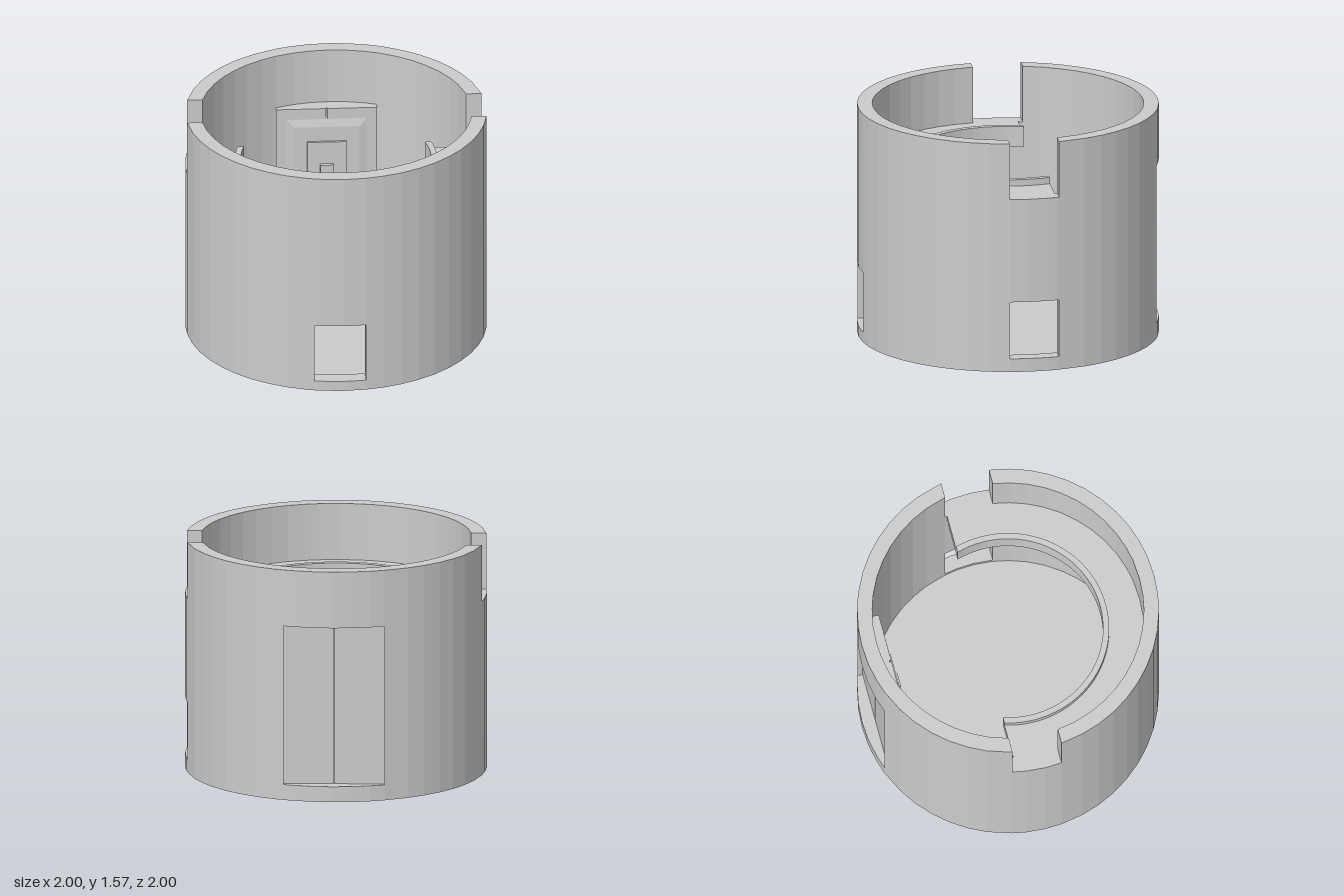
import * as THREE from 'three';

const R = 1, RI = 0.9, TOP = 1.57, DECK = 1.187, SIDES = 48;
const TAU = Math.PI * 2;
const mat = new THREE.MeshStandardMaterial({ color: 0xcccccc, flatShading: true });

function add(group, name, geometry, x = 0, y = 0, z = 0) {
  const mesh = new THREE.Mesh(geometry, mat);
  mesh.name = name;
  mesh.position.set(x, y, z);
  group.add(mesh);
  return mesh;
}

// Openings: which wall they cut, extent along that wall, and height range
const OPENINGS = [
  { side: 'front', lo: -0.2, hi: 0.14, y0: 0.07, y1: 0.48 },
  { side: 'left', lo: -0.205, hi: 0.125, y0: 0.09, y1: 0.48 },
  { side: 'left', lo: -0.205, hi: 0.125, y0: DECK, y1: TOP },
  { side: 'right', lo: -0.22, hi: 0.11, y0: DECK, y1: TOP },
  { side: 'back', lo: -0.35, hi: 0.32, y0: 0.105, y1: DECK },
];

// Angle from +z towards +x at which a straight jamb meets radius r
function jambAngle(side, v, r) {
  const a = { front: Math.asin(v / r), left: Math.acos(v / r),
    back: Math.PI - Math.asin(v / r), right: TAU - Math.acos(v / r) }[side];
  return (a + TAU) % TAU;
}

// Round wall made of cells; only faces that border open space are built
function wallGeometry() {
  const cuts = [];
  for (const o of OPENINGS) for (const v of [o.lo, o.hi]) {
    const outer = jambAngle(o.side, v, R);
    if (!cuts.some(c => Math.abs(c.outer - outer) < 1e-6)) {
      cuts.push({ outer, inner: jambAngle(o.side, v, RI) });
    }
  }
  const jambs = cuts.slice();
  for (let i = 0; i < SIDES; i++) {
    const a = (i / SIDES) * TAU;
    if (jambs.every(c => Math.abs(c.outer - a) > 0.06)) cuts.push({ outer: a, inner: a });
  }
  cuts.sort((p, q) => p.outer - q.outer);
  const levels = [...new Set([0, TOP, ...OPENINGS.flatMap(o => [o.y0, o.y1])])].sort((a, b) => a - b);
  const n = cuts.length, m = levels.length - 1;

  const solid = (i, j) => {
    if (j < 0 || j >= m) return false;
    i = (i + n) % n;
    const a0 = cuts[i].outer, a1 = i + 1 < n ? cuts[i + 1].outer : TAU;
    const a = (a0 + a1) / 2, x = Math.sin(a), z = Math.cos(a);
    const y = (levels[j] + levels[j + 1]) / 2;
    return !OPENINGS.some(o => {
      const v = o.side === 'front' || o.side === 'back' ? x : z;
      const facing = { front: z, back: -z, left: x, right: -x }[o.side];
      return facing > 0.5 && v > o.lo && v < o.hi && y > o.y0 && y < o.y1;
    });
  };

  const pos = [];
  const pt = (i, j, out) => {
    const c = cuts[i % n], a = out ? c.outer : c.inner, r = out ? R : RI;
    return [r * Math.sin(a), levels[j], r * Math.cos(a)];
  };
  const quad = (a, b, c, d) => pos.push(...a, ...b, ...c, ...a, ...c, ...d);
  for (let i = 0; i < n; i++) for (let j = 0; j < m; j++) {
    if (!solid(i, j)) continue;
    const k = i + 1, t = j + 1;
    quad(pt(i, j, 1), pt(k, j, 1), pt(k, t, 1), pt(i, t, 1));
    quad(pt(k, j, 0), pt(i, j, 0), pt(i, t, 0), pt(k, t, 0));
    if (!solid(i, j + 1)) quad(pt(i, t, 1), pt(k, t, 1), pt(k, t, 0), pt(i, t, 0));
    if (!solid(i, j - 1)) quad(pt(i, j, 0), pt(k, j, 0), pt(k, j, 1), pt(i, j, 1));
    if (!solid(i + 1, j)) quad(pt(k, j, 1), pt(k, j, 0), pt(k, t, 0), pt(k, t, 1));
    if (!solid(i - 1, j)) quad(pt(i, j, 0), pt(i, j, 1), pt(i, t, 1), pt(i, t, 0));
  }
  const g = new THREE.BufferGeometry();
  g.setAttribute('position', new THREE.Float32BufferAttribute(pos, 3));
  g.computeVertexNormals();
  return g;
}

// Horseshoe slab around the front, cut straight across at z = -0.19
function horseshoe(rIn, rOut, y0, y1) {
  const e = r => Math.asin(0.19 / r);
  const s = new THREE.Shape();
  s.absarc(0, 0, rOut, Math.PI - e(rOut), TAU + e(rOut), false);
  s.absarc(0, 0, rIn, TAU + e(rIn), Math.PI - e(rIn), true);
  s.closePath();
  const g = new THREE.ExtrudeGeometry(s, { depth: y1 - y0, bevelEnabled: false, curveSegments: 28 });
  return g.rotateX(-Math.PI / 2).translate(0, y0, 0);
}

// Block whose inner (+z) face is shrunk to give sloping edges
function bevelBlock(w, h, d, inset) {
  const g = new THREE.BoxGeometry(w, h, d);
  const p = g.attributes.position;
  for (let i = 0; i < p.count; i++) if (p.getZ(i) > 0) {
    p.setX(i, p.getX(i) * (1 - 2 * inset / w));
    p.setY(i, p.getY(i) * (1 - 2 * inset / h));
  }
  g.computeVertexNormals();
  return g;
}

export function createModel() {
  const model = new THREE.Group();
  model.name = 'roundTower';

  add(model, 'wall', wallGeometry());
  add(model, 'floor', new THREE.CylinderGeometry(0.92, 0.92, 0.064, SIDES), 0, 0.033, 0);

  // Balcony with a low parapet on its inner edge
  add(model, 'balcony', horseshoe(0.66, 0.903, 1.09, DECK));
  add(model, 'parapet', horseshoe(0.63, 0.67, 1.09, 1.23));

  // Double door set in the back wall
  const door = new THREE.Group();
  door.name = 'door';
  model.add(door);
  const cx = -0.015, cy = 0.645, h = 1.08;
  add(door, 'doorCore', new THREE.BoxGeometry(0.66, h, 0.085), cx, cy, -0.857);
  for (const s of [-1, 1]) {
    add(door, 'doorLeaf', new THREE.BoxGeometry(0.331, h, 0.11), cx + s * 0.1695, cy, -0.857);
  }

  // Stepped relief on the inside of the door
  add(door, 'reliefPanel', bevelBlock(0.57, 0.96, 0.016, 0.07), cx, cy, -0.798);
  add(door, 'reliefStep', new THREE.BoxGeometry(0.26, 0.52, 0.03), cx, 0.69, -0.789);
  add(door, 'reliefBoss', new THREE.BoxGeometry(0.09, 0.2, 0.03), cx, 0.69, -0.764);

  return model;
}
